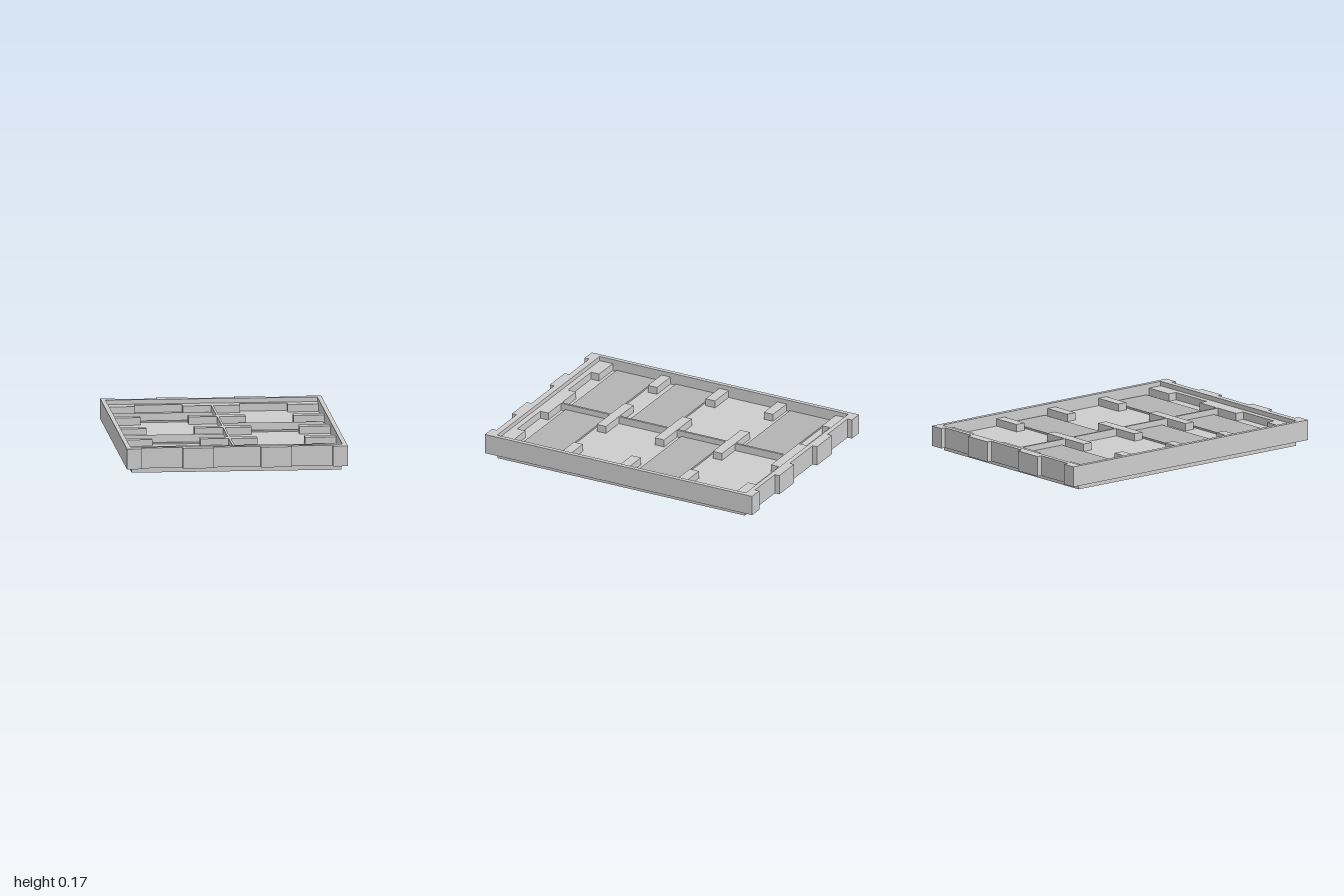
import * as THREE from 'three';

const grey = new THREE.MeshStandardMaterial({ color: 0xcccccc, flatShading: true });
const padMaterial = new THREE.MeshStandardMaterial({ color: 0xb2b2b2, flatShading: true });

const FLOOR = 0.09, BAR_TOP = 0.14, RIM_TOP = 0.17, TRAY_BOTTOM = 0.035;

export function createModel() {
  const group = new THREE.Group();

  const add = (name, geometry, material = grey) => {
    const mesh = new THREE.Mesh(geometry, material);
    mesh.name = name;
    group.add(mesh);
  };

  // Box given by its extents on each axis
  const box = (name, [x0, x1], [y0, y1], [z0, z1], material) => {
    const geometry = new THREE.BoxGeometry(x1 - x0, y1 - y0, z1 - z0);
    geometry.translate((x0 + x1) / 2, (y0 + y1) / 2, (z0 + z1) / 2);
    add(name, geometry, material);
  };

  // Extrudes a plan drawn in x and z down from the top height
  const slab = (name, shape, top, bottom) => {
    const geometry = new THREE.ExtrudeGeometry(shape, { depth: top - bottom, bevelEnabled: false });
    geometry.rotateX(Math.PI / 2);
    geometry.translate(0, top, 0);
    add(name, geometry);
  };

  const points = (list) => list.map(([x, z]) => new THREE.Vector2(x, z));
  const rectangle = (x0, x1, z0, z1) => points([[x0, z0], [x1, z0], [x1, z1], [x0, z1]]);

  // Foot plate under the tray
  box('basePlate', [-0.69, 0.69], [0, TRAY_BOTTOM], [-0.925, 0.925]);

  // Rim with three notches in each short end
  const end = [[-0.727, 1]];
  for (const [a, b] of [[-0.63, -0.358], [-0.155, 0.155], [0.358, 0.63]]) {
    end.push([a, 1], [a, 0.967], [b, 0.967], [b, 1]);
  }
  end.push([0.727, 1]);
  const rim = new THREE.Shape(points([...end, ...end.map(([x, z]) => [-x, -z])]));
  rim.holes.push(new THREE.Path(rectangle(-0.697, 0.697, -0.935, 0.925)));
  slab('rim', rim, RIM_TOP, TRAY_BOTTOM);

  // Tray floor
  box('floor', [-0.7, 0.7], [TRAY_BOTTOM, FLOOR], [-0.938, 0.928]);

  // Insert: two columns of four cells, joined through gaps in the cross bars
  const insert = new THREE.Shape(rectangle(-0.699, 0.699, -0.937, 0.927));
  const bars = [[-0.474, -0.405], [-0.04, 0.03], [0.395, 0.463]];
  for (const [outer, gapOuter, gapInner, inner] of [
    [-0.697, -0.513, -0.197, -0.01],
    [0.697, 0.493, 0.18, 0.005],
  ]) {
    const outerEdge = [[outer, -0.84]];
    const innerEdge = [[inner, -0.84]];
    for (const [z0, z1] of bars) {
      outerEdge.push([outer, z0], [gapOuter, z0], [gapOuter, z1], [outer, z1]);
      innerEdge.push([inner, z0], [gapInner, z0], [gapInner, z1], [inner, z1]);
    }
    outerEdge.push([outer, 0.827]);
    innerEdge.push([inner, 0.827]);
    insert.holes.push(new THREE.Path(points([
      [gapInner, -0.84], [gapInner, -0.898], [gapOuter, -0.898], [gapOuter, -0.84],
      ...outerEdge,
      [gapOuter, 0.827], [gapOuter, 0.887], [gapInner, 0.887], [gapInner, 0.827],
      ...innerEdge.reverse(),
    ])));
  }
  slab('dividers', insert, BAR_TOP, FLOOR - 0.01);

  // Raised plates lying in five of the cells
  const left = [0.005, 0.685], right = [-0.69, -0.01];
  for (const [column, z] of [[right, -0.653], [left, -0.222], [right, 0.202], [right, 0.645], [left, 0.645]]) {
    box('cellPlate', column, [FLOOR - 0.01, FLOOR + 0.012], [z - 0.15, z + 0.15], padMaterial);
  }

  return group;
}
